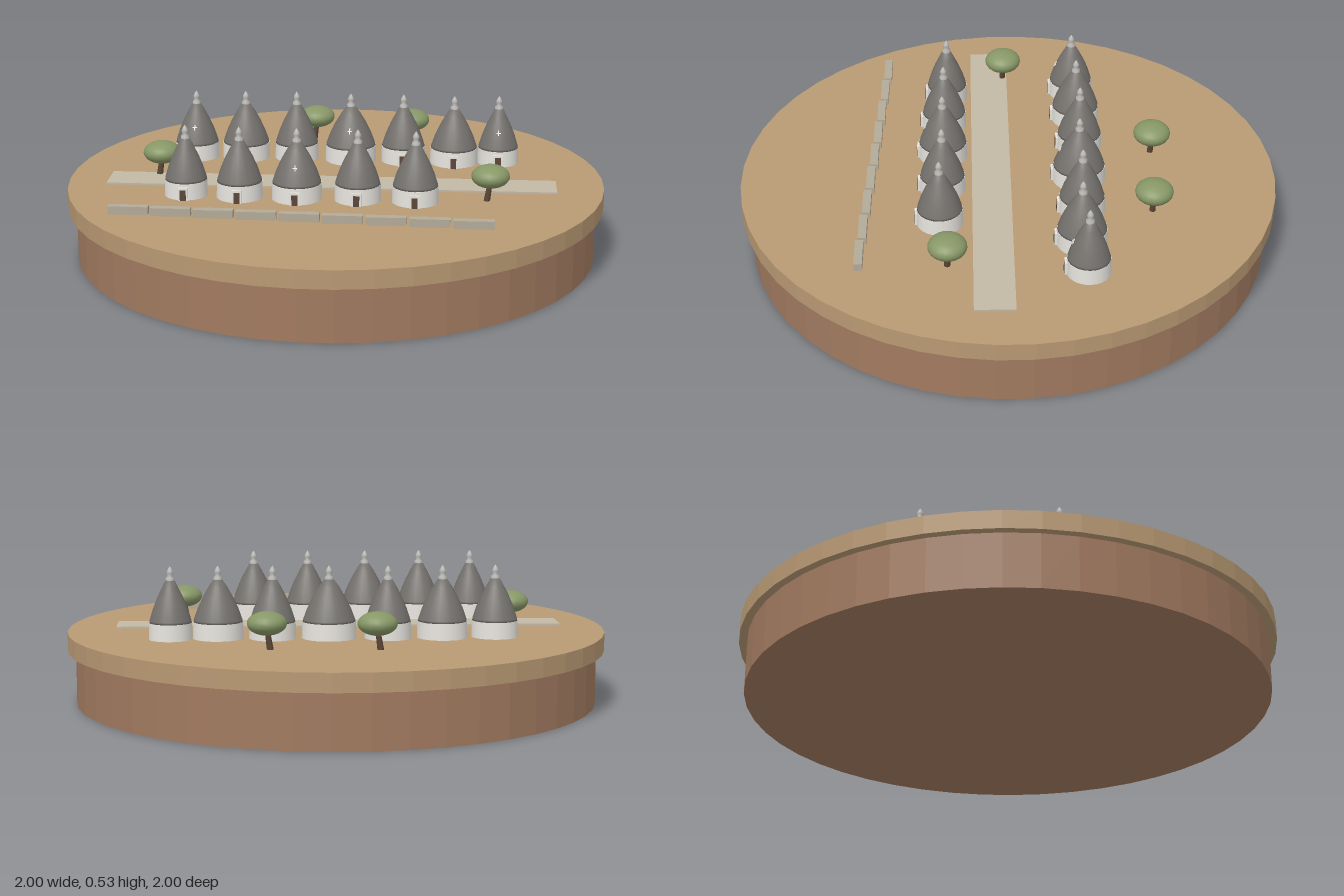
import * as THREE from 'three';

const TOP = 0.267; // ground level
const SLANT = -0.2; // shared rotation of street, houses and wall

const mat = (name, color, extra = {}) => {
  const m = new THREE.MeshStandardMaterial({ color, ...extra });
  m.name = name;
  return m;
};

export function createModel() {
  const root = new THREE.Group();
  root.name = 'hutVillage';
  const earth = mat('earth', 0xa17a60, { flatShading: true });
  const ground = mat('sandyGround', 0xb89973, { flatShading: true });
  const paving = mat('paving', 0xc2b9a5);
  const stone = mat('dryStone', 0xb3aa98);
  const plaster = mat('whitePlaster', 0xe9e6e0);
  const slate = mat('slateRoof', 0x74716d);
  const finialGrey = mat('finialStone', 0xbab8b4);
  const wood = mat('darkWood', 0x5a4636);
  const leaf = mat('leaves', 0x879766);

  const add = (parent, name, geo, material, x = 0, y = 0, z = 0) => {
    const m = new THREE.Mesh(geo, material);
    m.name = name;
    m.position.set(x, y, z);
    parent.add(m);
    return m;
  };
  const lathe = (pts, n = 24) =>
    new THREE.LatheGeometry(pts.map(([x, y]) => new THREE.Vector2(x, y)), n);

  // Round stepped base
  add(root, 'base', new THREE.CylinderGeometry(0.97, 0.97, 0.2, 48), earth, 0, 0.1, 0);
  add(root, 'groundDisc', new THREE.CylinderGeometry(1, 1, TOP - 0.2, 48), ground, 0, (TOP + 0.2) / 2, 0);

  // Street between the two rows
  add(root, 'street', new THREE.BoxGeometry(1.67, 0.008, 0.145), paving, -0.025, TOP + 0.003, 0.06)
    .rotation.y = SLANT;

  // Round houses: x, z, radius
  const houses = [
    [-0.5, -0.37, 0.085], [-0.31, -0.34, 0.092], [-0.115, -0.305, 0.085], [0.09, -0.25, 0.099],
    [0.29, -0.21, 0.085], [0.48, -0.16, 0.092], [0.65, -0.14, 0.079],
    [-0.567, 0.12, 0.079], [-0.375, 0.17, 0.085], [-0.17, 0.215, 0.092], [0.047, 0.26, 0.085], [0.25, 0.31, 0.085],
  ];
  const finialGeo = lathe([[0.016, 0.205], [0.015, 0.222], [0.008, 0.228], [0.012, 0.237], [0.011, 0.245], [0.006, 0.255], [0, 0.263]], 12);
  houses.forEach(([x, z, r], i) => {
    const house = new THREE.Group();
    house.name = 'house';
    house.position.set(x, TOP, z);
    house.rotation.y = SLANT;
    root.add(house);
    add(house, 'wall', new THREE.CylinderGeometry(r * 0.98, r, 0.06, 24), plaster, 0, 0.03, 0);
    add(house, 'roof', lathe([[0, 0.059], [r * 0.97, 0.059], [r * 0.95, 0.068], [r * 0.8, 0.108],
      [r * 0.59, 0.15], [r * 0.37, 0.186], [0.017, 0.212], [0, 0.215]]), slate);
    add(house, 'finial', finialGeo, finialGrey);
    // Doorway with a stone surround, facing the front
    add(house, 'doorFrame', new THREE.BoxGeometry(0.036, 0.048, 0.016), plaster, 0, 0.024, r - 0.002);
    add(house, 'door', new THREE.BoxGeometry(0.022, 0.04, 0.004), wood, 0, 0.02, r + 0.006);
    // Painted cross on some roofs
    if (i % 3 === 0) {
      const cross = new THREE.Group();
      cross.name = 'roofMark';
      cross.position.set(0, 0.13, r * 0.7 + 0.002);
      cross.rotation.x = -0.42;
      house.add(cross);
      add(cross, 'upright', new THREE.BoxGeometry(0.004, 0.022, 0.004), plaster);
      add(cross, 'crossbar', new THREE.BoxGeometry(0.016, 0.004, 0.004), plaster);
    }
  });

  // Low wall in nine staggered lengths
  const block = new THREE.BoxGeometry(0.143, 0.029, 0.03);
  for (let i = 0; i < 9; i++) {
    add(root, 'wallLength', block, stone, -0.782 + i * 0.148, TOP + 0.0145, 0.321 + i * 0.0388)
      .rotation.y = SLANT;
  }

  // Spreading trees with short leaning trunks
  const crown = new THREE.SphereGeometry(0.07, 20, 14).scale(1, 0.6, 1);
  for (const [x, z] of [[-0.005, -0.56], [0.365, -0.46], [-0.645, -0.125], [0.52, 0.335]]) {
    const tree = new THREE.Group();
    tree.name = 'tree';
    tree.position.set(x, TOP, z);
    root.add(tree);
    add(tree, 'trunk', new THREE.CylinderGeometry(0.009, 0.012, 0.075, 8), wood, -0.006, 0.036, 0)
      .rotation.z = -0.15;
    add(tree, 'crown', crown, leaf, 0, 0.092, 0);
  }
  return root;
}
